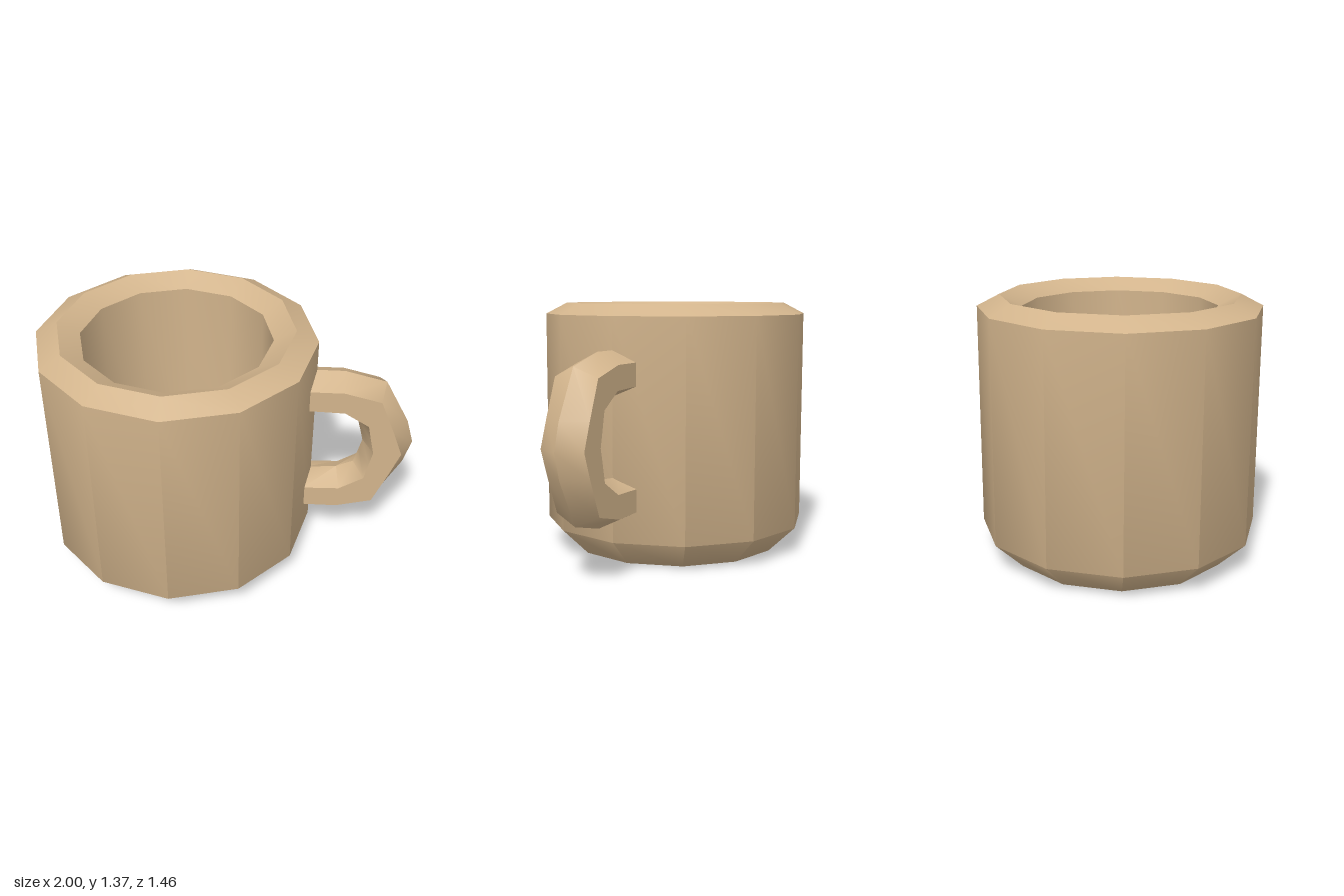
import * as THREE from 'three';
import { toCreasedNormals } from 'three/addons/utils/BufferGeometryUtils.js';

const CREASE = THREE.MathUtils.degToRad(50);
const HANDLE_Y = 0.697; // mid height of the handle
const HALF_WIDTH = 0.12;

// Cup: twelve-sided turned wall with chamfered foot and peaked rim
function cupGeometry() {
  const profile = [
    [0, 0], [0.58, 0], [0.73, 0.145], [0.73, 1.31], [0.615, 1.37],
    [0.5, 1.31], [0.5, 0.14], [0, 0.14],
  ].map(([r, y]) => new THREE.Vector2(r, y));
  return toCreasedNormals(new THREE.LatheGeometry(profile, 12), CREASE);
}

// Handle: hexagonal section, ridged on its outer and inner sides
function handleGeometry() {
  // Each station: outer ridge, outer edge, inner edge, inner ridge as [x, height above the middle]
  const upper = [
    [[0.42, 0.443], [0.42, 0.383], [0.42, 0.263], [0.42, 0.213]],
    [[0.606, 0.443], [0.606, 0.383], [0.615, 0.257], [0.60, 0.195]],
    [[0.827, 0.386], [0.80, 0.333], [0.745, 0.176], [0.69, 0.153]],
    [[0.96, 0.139], [0.88, 0.139], [0.765, 0.08], [0.713, 0.07]],
    [[1.0, 0], [0.932, 0], [0.783, 0], [0.73, 0]],
  ];
  const lower = upper.slice(0, -1).reverse().map((s) => s.map(([x, y]) => [x, -y]));
  const stations = [...upper, ...lower];

  const positions = [];
  const index = [];
  for (const [ridge, edge, innerEdge, innerRidge] of stations) {
    const ring = [
      [ridge, 0], [edge, 1], [innerEdge, 1], [innerRidge, 0], [innerEdge, -1], [edge, -1],
    ];
    for (const [[x, y], side] of ring) positions.push(x, y + HANDLE_Y, side * HALF_WIDTH);
  }
  for (let i = 0; i < stations.length - 1; i++) {
    for (let j = 0; j < 6; j++) {
      const a = i * 6 + j;
      const b = i * 6 + ((j + 1) % 6);
      index.push(a, b, a + 6, b, b + 6, a + 6);
    }
  }
  // End caps against the cup wall
  const last = (stations.length - 1) * 6;
  for (let j = 1; j < 5; j++) {
    index.push(0, j + 1, j, last, last + j, last + j + 1);
  }

  const geometry = new THREE.BufferGeometry();
  geometry.setAttribute('position', new THREE.Float32BufferAttribute(positions, 3));
  geometry.setIndex(index);
  return toCreasedNormals(geometry, CREASE);
}

export function createModel() {
  const group = new THREE.Group();
  group.name = 'mug';
  const clay = new THREE.MeshStandardMaterial({ color: 0xd2b48c });
  clay.name = 'tan clay';

  const cup = new THREE.Mesh(cupGeometry(), clay);
  cup.name = 'cup';
  cup.position.x = -0.27;

  const handle = new THREE.Mesh(handleGeometry(), clay);
  handle.name = 'handle';

  group.add(cup, handle);
  return group;
}
